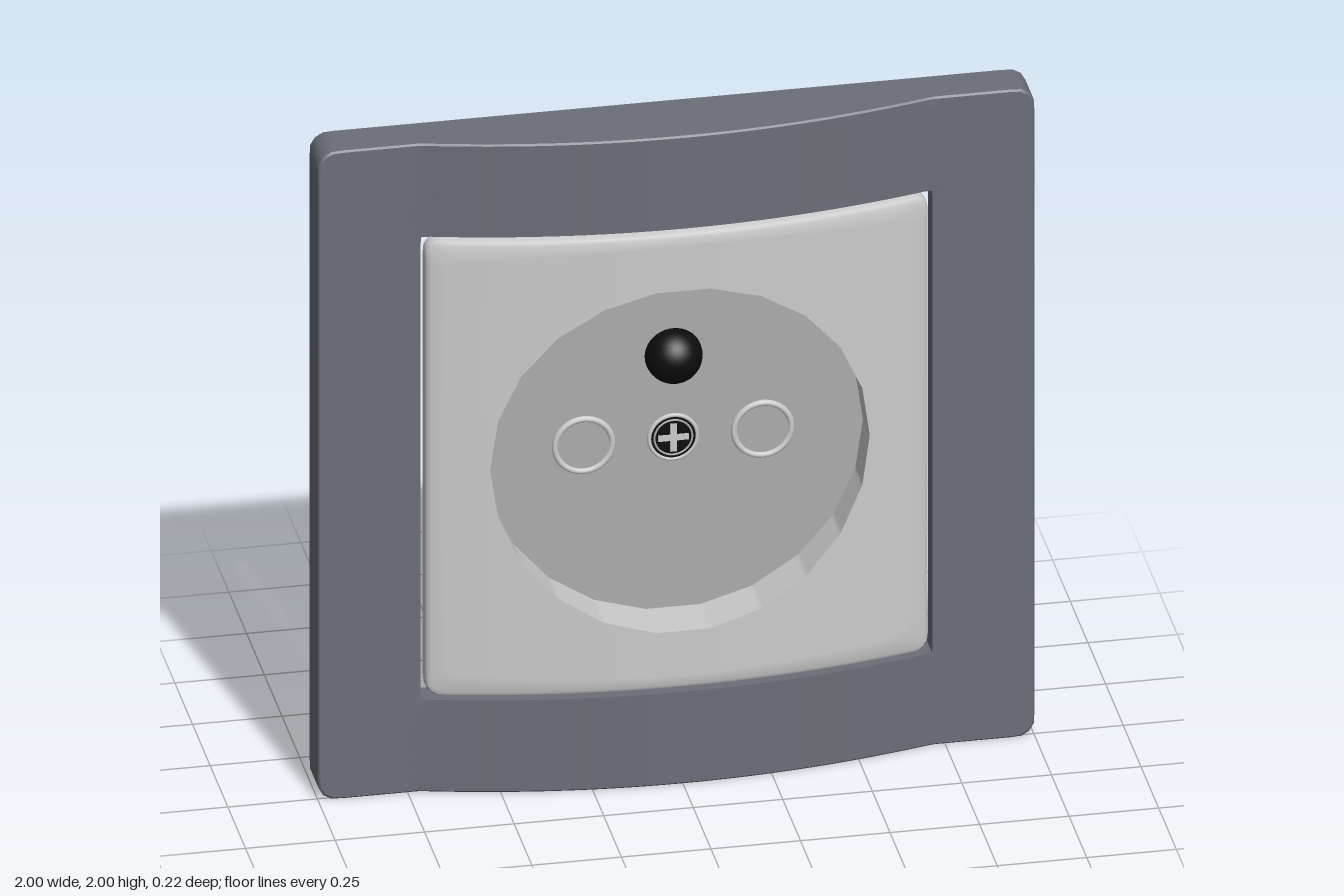
import * as THREE from 'three';
import { toCreasedNormals } from 'three/addons/utils/BufferGeometryUtils.js';

const N = 352, SIDES = 22, CY = 1;
const mat = (color) => new THREE.MeshStandardMaterial({ color, side: THREE.DoubleSide });

// Radius of a rounded square (half size h, corner radius r) along angle t
const square = (h, r) => (t) => {
  const c = Math.abs(Math.cos(t)), s = Math.abs(Math.sin(t)), k = h - r;
  const d = h / Math.max(c, s);
  if (d * c <= k || d * s <= k) return d;
  const b = k * (c + s);
  return b + Math.sqrt(Math.max(0, b * b - 2 * k * k + r * r));
};
// Radius of a regular polygon with a corner on +x
const polygon = (R) => (t) => {
  const w = (2 * Math.PI) / SIDES, a = (((t + 1e-9) % w) + w) % w;
  return (R * Math.cos(w / 2)) / Math.cos(a - w / 2);
};
// Skin a list of rings [radius(t), z(x)], with steps in between where given
function skin(rings, crease) {
  const rows = [];
  rings.forEach(([rad, z, steps = 1], i) => {
    const prev = i ? rings[i - 1] : null;
    for (let s = prev ? 1 : steps; s <= steps; s++) {
      const f = s / steps, row = [];
      for (let j = 0; j < N; j++) {
        const t = (j / N) * Math.PI * 2;
        const r = prev ? prev[0](t) * (1 - f) + rad(t) * f : rad(t);
        const x = r * Math.cos(t);
        row.push([x, CY + r * Math.sin(t), z(x)]);
      }
      rows.push(row);
    }
  });
  const pos = [], idx = [];
  rows.forEach((row, i) => row.forEach((p, j) => {
    pos.push(...p);
    if (i === rows.length - 1) return;
    const a = i * N + j, b = i * N + ((j + 1) % N);
    idx.push(a, b, b + N, a, b + N, a + N);
  }));
  const g = new THREE.BufferGeometry();
  g.setAttribute('position', new THREE.Float32BufferAttribute(pos, 3));
  g.setIndex(idx);
  return toCreasedNormals(g, crease);
}

export function createModel() {
  const model = new THREE.Group();
  const dark = mat(0x6b6e78), light = mat(0xcccccc), grey = mat(0xacacac), black = mat(0x0c0c0c);
  const add = (name, geo, material, x = 0, y = CY, z = 0, parent = model) => {
    const m = new THREE.Mesh(geo, material);
    m.name = name;
    m.position.set(x, y, z);
    parent.add(m);
    return m;
  };
  const disc = (r, depth, seg = 32) =>
    new THREE.CylinderGeometry(r, r, depth, seg).rotateY(Math.PI / 2).rotateX(Math.PI / 2);

  const at = (z) => () => z;
  // Front surfaces bow outwards across the width
  const frameZ = (x) => Math.max(0.014, 0.108 - 0.184 * x * x);
  const plateZ = (d) => (x) => 0.112 - 0.18 * x * x - d;

  // Outer frame: hollow shell with a lip around the opening
  add('frame', skin([
    [square(1, 0.05), at(-0.11)],
    [square(1, 0.05), (x) => frameZ(x) - 0.005],
    [square(0.995, 0.05), frameZ],
    [square(0.715, 0.008), frameZ, 8],
    [square(0.715, 0.008), at(-0.055)],
  ], 0.6), dark, 0, 0);

  // Cover plate: curved shell with a round well
  add('coverPlate', skin([
    [polygon(0.572), at(-0.05)],
    [polygon(0.572), plateZ(0.03)],
    [square(0.675, 0.02), plateZ(0.03), 5],
    [square(0.685, 0.03), at(-0.02)],
    [square(0.702, 0.04), at(-0.02)],
    [square(0.702, 0.04), plateZ(0.014)],
    [square(0.698, 0.04), plateZ(0.005)],
    [square(0.688, 0.04), plateZ(0)],
    [polygon(0.53), plateZ(0), 6],
    [polygon(0.53), at(-0.036)],
  ], 0.55), light, 0, 0);

  // Floor of the well
  add('wellFloor', disc(0.57, 0.02, SIDES), grey, 0, CY, -0.045);

  // Earth contact
  add('earthContact', new THREE.SphereGeometry(0.08, 32, 20), black, 0, 1.255, -0.03);

  // Pin holes: raised rim and shutter in front, dark opening behind
  for (const side of [-1, 1]) {
    const x = side * 0.25;
    add('pinRim', new THREE.TorusGeometry(0.08, 0.009, 10, 40), light, x, CY, -0.034);
    add('pinShutter', disc(0.072, 0.004), grey, x, CY, -0.034);
    add('pinOpening', disc(0.077, 0.004), black, x, CY, -0.055);
  }

  // Centre screw with a cross recess
  const screw = new THREE.Group();
  screw.name = 'centreScrew';
  screw.position.set(0, CY, 0);
  model.add(screw);
  add('screwRim', new THREE.TorusGeometry(0.067, 0.006, 10, 36), light, 0, 0, -0.034, screw);
  add('screwHead', disc(0.062, 0.006), black, 0, 0, -0.034, screw);
  add('screwInnerRing', new THREE.TorusGeometry(0.053, 0.003, 8, 36), grey, 0, 0, -0.031, screw);
  add('screwSlotA', new THREE.BoxGeometry(0.085, 0.018, 0.005), light, 0, 0, -0.03, screw);
  add('screwSlotB', new THREE.BoxGeometry(0.018, 0.085, 0.005), light, 0, 0, -0.03, screw);
  add('screwOpening', disc(0.06, 0.004), black, 0, 0, -0.055, screw);

  return model;
}
